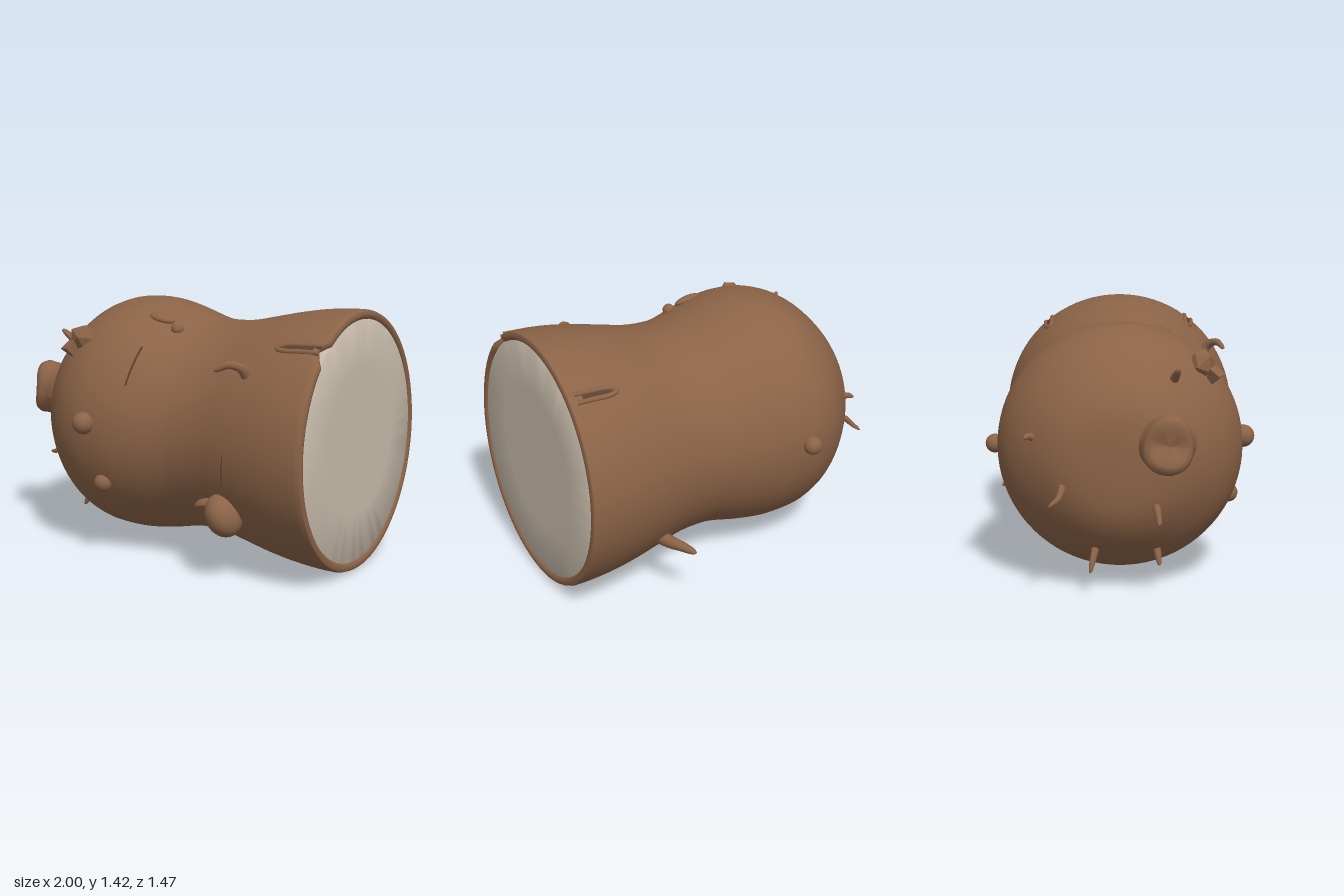
import * as THREE from 'three';
import { toCreasedNormals } from 'three/addons/utils/BufferGeometryUtils.js';

// Outer skin profile: position along x, radius
const PROFILE = [
  [-0.89, 0], [-0.887, 0.14], [-0.865, 0.28], [-0.805, 0.4], [-0.7, 0.52], [-0.6, 0.6],
  [-0.5, 0.647], [-0.4, 0.67], [-0.25, 0.672], [-0.1, 0.645], [0.05, 0.607], [0.15, 0.596],
  [0.3, 0.605], [0.45, 0.638], [0.6, 0.672], [0.75, 0.698], [0.88, 0.71], [0.965, 0.712],
];
const NOTCH = 0.655; // angle of the split in the rim, from +y towards +z

const centreY = (x) => 0.717 + 0.022 * (1 - THREE.MathUtils.smoothstep(x, -0.4, 0.2));

function radiusAt(x) {
  for (let i = 1; i < PROFILE.length; i++) {
    const [x0, r0] = PROFILE[i - 1], [x1, r1] = PROFILE[i];
    if (x <= x1) return r0 + ((r1 - r0) * (x - x0)) / (x1 - x0);
  }
  return 0.712;
}

// Point on the skin at x and angle, raised by h
function onSkin(x, angle, h = 0) {
  const r = radiusAt(x) + h;
  return new THREE.Vector3(x, centreY(x) + r * Math.cos(angle), r * Math.sin(angle));
}

// Turns a profile about x, bends its centre line and slants the open end
function turned(points, notch) {
  const geo = new THREE.LatheGeometry(points.map(([x, r]) => new THREE.Vector2(r, x)), 80);
  geo.rotateZ(-Math.PI / 2);
  const p = geo.attributes.position;
  for (let i = 0; i < p.count; i++) {
    let x = p.getX(i);
    const y = p.getY(i), z = p.getZ(i);
    const offset = Math.abs(Math.atan2(z, y) - NOTCH);
    if (notch && x > 0.92 && offset < 0.09) x -= 0.07 * (1 - offset / 0.09);
    const slant = 0.011 * y / 0.7 * THREE.MathUtils.smoothstep(x, 0.6, 0.95);
    p.setXYZ(i, x - slant, y + centreY(x), z);
  }
  geo.computeVertexNormals();
  return toCreasedNormals(geo, 0.75);
}

// Tapering, closed-tip tube through points
function horn(points, radius, taper = 0.55) {
  const curve = new THREE.CatmullRomCurve3(points.map((q) => new THREE.Vector3(...q)));
  const rings = 18, sides = 10;
  const geo = new THREE.TubeGeometry(curve, rings, radius, sides);
  const p = geo.attributes.position, v = new THREE.Vector3();
  for (let i = 0; i < p.count; i++) {
    const t = Math.floor(i / (sides + 1)) / rings;
    const c = curve.getPointAt(t);
    v.fromBufferAttribute(p, i).sub(c).multiplyScalar((1 - taper * t) * Math.sqrt(1 - t ** 10)).add(c);
    p.setXYZ(i, v.x, v.y, v.z);
  }
  geo.computeVertexNormals();
  return geo;
}

export function createModel() {
  const model = new THREE.Group();
  const material = (name, color) => {
    const m = new THREE.MeshStandardMaterial({ color });
    m.name = name;
    return m;
  };
  const skin = material('brown skin', 0x8b6347);
  const flesh = material('pale flesh', 0xc9bdac);
  const groove = material('dark groove', 0x5c3f2d);
  groove.side = THREE.DoubleSide;

  const add = (name, geo, mat = skin) => {
    const mesh = new THREE.Mesh(geo, mat);
    mesh.name = name;
    model.add(mesh);
    return mesh;
  };

  // Body with rolled rim, smoothed along its length
  const curve = new THREE.SplineCurve(PROFILE.map(([x, r]) => new THREE.Vector2(x, r)));
  const outer = curve.getPoints(64).map((q) => [q.x, Math.max(0, q.y)]);
  add('body', turned([...outer, [0.983, 0.705], [0.99, 0.69], [0.987, 0.672], [0.975, 0.661], [0.94, 0.658]], true));

  // Pale core filling the open end
  add('cutFace', turned([[0.8, 0.668], [0.972, 0.668], [0.977, 0.662], [0.979, 0.4], [0.979, 0]], false), flesh);

  // Stump with a dished, two-lobed end
  const stumpProfile = [[0.2, -0.12], [0.17, -0.05], [0.148, 0], [0.142, 0.05], [0.145, 0.085],
    [0.13, 0.115], [0.1, 0.125], [0.06, 0.112], [0, 0.1]];
  const stumpGeo = new THREE.LatheGeometry(stumpProfile.map(([r, h]) => new THREE.Vector2(r, h)), 28);
  const sp = stumpGeo.attributes.position;
  for (let i = 0; i < sp.count; i++) {
    const a = Math.atan2(sp.getZ(i), sp.getX(i));
    const k = 1 + 0.08 * Math.cos(2 * a) + 0.04 * Math.cos(3 * a);
    if (sp.getY(i) > 0) sp.setXYZ(i, sp.getX(i) * k, sp.getY(i) + 0.015 * Math.cos(2 * a) - 0.01, sp.getZ(i) * k);
  }
  stumpGeo.computeVertexNormals();
  const stump = add('stump', stumpGeo);
  stump.position.set(-0.862, 0.85, 0.235);
  stump.quaternion.setFromUnitVectors(new THREE.Vector3(0, 1, 0), new THREE.Vector3(-1, 0.1, 0.12).normalize());

  // Round warts: position, radius
  const warts = [
    [-0.365, 0.79, 0.675, 0.062], [-0.285, 0.45, 0.605, 0.053],
    [-0.37, 0.75, -0.685, 0.052], [-0.012, 1.285, 0.27, 0.035],
  ];
  for (const [x, y, z, r] of warts) add('wart', new THREE.SphereGeometry(r, 20, 14)).position.set(x, y, z);

  // Horns, thorns and tendrils
  const horns = [
    ['hookedHorn', [[0.575, 1.08, 0.49], [0.56, 1.16, 0.54], [0.51, 1.185, 0.59], [0.44, 1.15, 0.63]], 0.033],
    ['lowerHook', [[0.45, 0.39, 0.58], [0.39, 0.43, 0.6], [0.35, 0.425, 0.61], [0.315, 0.4, 0.61]], 0.04],
    ['backThorn', [[0.49, 0.34, -0.5], [0.47, 0.34, -0.58], [0.44, 0.34, -0.65], [0.39, 0.32, -0.72]], 0.042],
    ['upperThorn', [[-0.68, 1.14, 0.27], [-0.74, 1.19, 0.29], [-0.785, 1.225, 0.3]], 0.03],
    ['tendril', [[-0.8, 0.62, -0.3], [-0.88, 0.61, -0.305], [-0.915, 0.575, -0.32], [-0.95, 0.54, -0.37]], 0.024],
    ['tendril', [[-0.8, 0.52, 0.18], [-0.88, 0.51, 0.19], [-0.92, 0.46, 0.2], [-0.97, 0.45, 0.2]], 0.026],
    ['tendril', [[-0.66, 0.3, -0.12], [-0.73, 0.22, -0.14], [-0.775, 0.13, -0.16]], 0.026],
    ['tendril', [[-0.64, 0.29, 0.18], [-0.68, 0.22, 0.2], [-0.715, 0.155, 0.21]], 0.028],
    ['smallThorn', [[-0.72, 0.85, -0.44], [-0.755, 0.87, -0.48], [-0.78, 0.86, -0.5]], 0.025],
  ];
  for (const [name, path, r] of horns) add(name, horn(path, r));

  // Swelling under the lower hook
  const swelling = add('swelling', new THREE.SphereGeometry(1, 24, 16));
  swelling.scale.set(0.095, 0.12, 0.11);
  swelling.position.set(0.475, 0.375, 0.58);
  swelling.rotation.z = 0.5;

  // Faceted crust and its hanging flake
  const crust = add('crust', new THREE.IcosahedronGeometry(1, 0));
  crust.scale.set(0.085, 0.09, 0.075);
  crust.position.set(-0.53, 1.21, 0.43);
  crust.rotation.set(0.4, 0.3, 0.2);
  const flake = add('crustFlake', new THREE.ConeGeometry(0.05, 0.16, 4).toNonIndexed());
  flake.geometry.computeVertexNormals();
  flake.position.set(-0.555, 1.12, 0.475);
  flake.rotation.set(0.35, 0.4, Math.PI + 0.45);

  // Leaf-shaped blister near the top
  const blister = add('blister', new THREE.SphereGeometry(1, 20, 12));
  blister.scale.set(0.08, 0.022, 0.035);
  blister.position.copy(onSkin(-0.12, 0.39, 0.006));
  blister.rotation.set(0.38, 0, -0.18);

  // Slots near the rim: dark floor edged by a rounded lip
  for (const [name, angle, end] of [['frontSlot', NOTCH, 0.955], ['backSlot', -0.68, 0.94]]) {
    const w = 0.035;
    const lip = [[end, w], [0.85, w * 0.95], [0.74, w * 0.8], [0.695, 0], [0.74, -w * 0.8], [0.85, -w * 0.95], [end, -w]]
      .map(([x, da]) => onSkin(x, angle + da, 0));
    add(name + 'Lip', new THREE.TubeGeometry(new THREE.CatmullRomCurve3(lip), 40, 0.014, 8));
    const floor = new THREE.PlaneGeometry(1, 1, 8, 1), p = floor.attributes.position;
    for (let i = 0; i < p.count; i++) {
      const q = onSkin(0.71 + (p.getX(i) + 0.5) * (end - 0.75), angle + p.getY(i) * w, 0.004);
      p.setXYZ(i, q.x, q.y, q.z);
    }
    floor.computeVertexNormals();
    add(name + 'Floor', floor, groove);
  }

  // Thin scar and fine cracks running round the skin
  for (const [x, from, to, r] of [[-0.125, 0.76, 1.13, 0.006], [0.505, 1.58, 1.82, 0.003]]) {
    const path = [0, 0.33, 0.66, 1].map((t) => onSkin(x - 0.015 * t, from + (to - from) * t, 0));
    add('scar', new THREE.TubeGeometry(new THREE.CatmullRomCurve3(path), 16, r, 6), groove);
  }
  return model;
}
